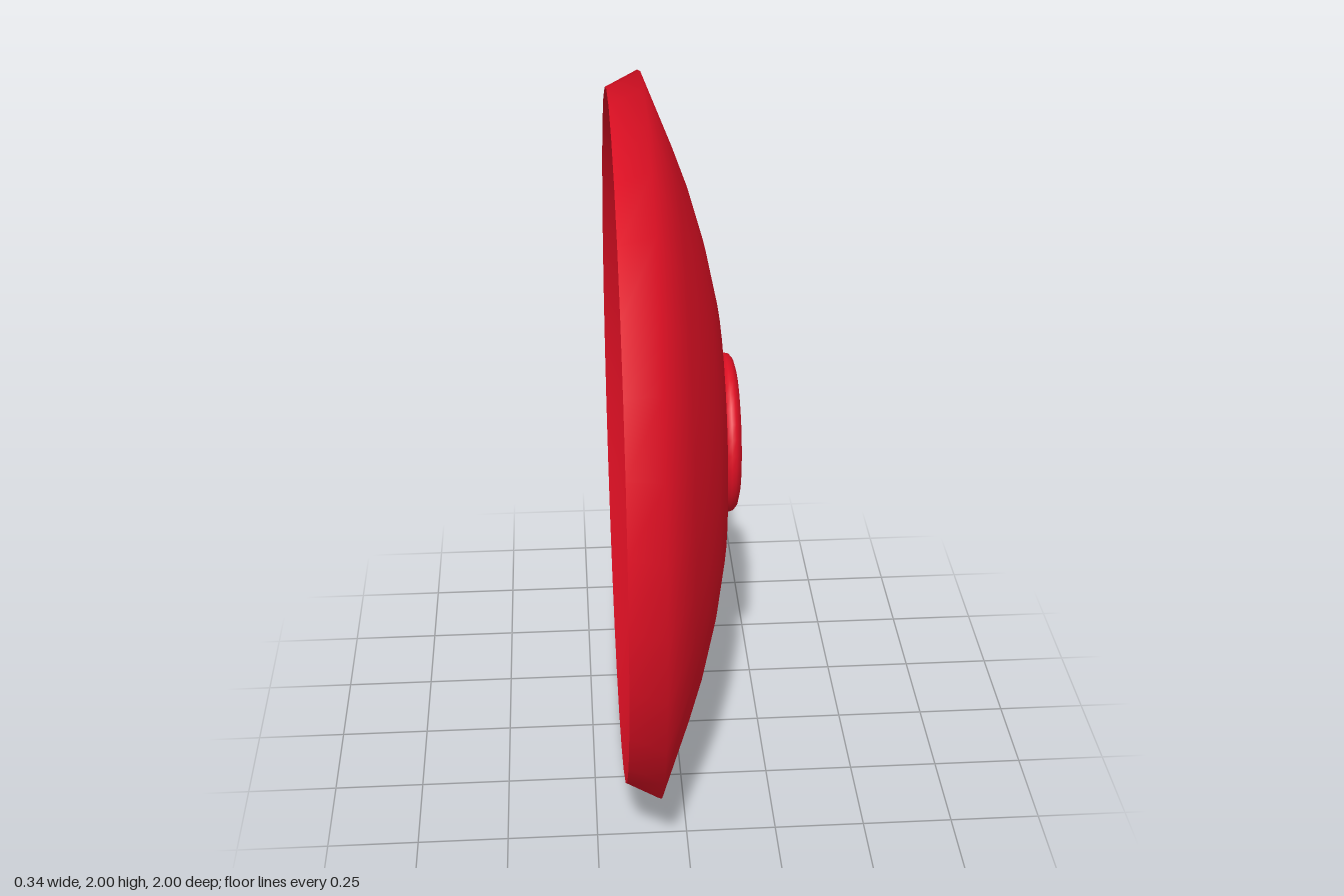
import * as THREE from 'three';

const SIDES = 32;

// Revolves [x, radius] pairs around the x axis
function revolve(name, profile, material) {
  const points = profile.map(([x, r]) => new THREE.Vector2(r, x));
  const geometry = new THREE.LatheGeometry(points, SIDES);
  geometry.rotateZ(-Math.PI / 2);
  const mesh = new THREE.Mesh(geometry, material);
  mesh.name = name;
  mesh.position.y = 1;
  return mesh;
}

export function createModel() {
  const group = new THREE.Group();
  group.name = 'roundShield';
  const red = new THREE.MeshStandardMaterial({ color: 0xe01024, side: THREE.DoubleSide });
  const handleRed = new THREE.MeshStandardMaterial({ color: 0xe01414 });

  // Domed shell: hollow back, rim, front, then the wall of the central hole.
  // A repeated point makes a sharp edge.
  group.add(revolve('shieldShell', [
    [0.08, 0.18], [0.07, 0.25], [0.05, 0.41], [0.02, 0.52], [-0.02, 0.66],
    [-0.07, 0.79], [-0.125, 0.89], [-0.17, 0.955], [-0.17, 0.955],
    [-0.08, 1.0], [0.0, 0.8], [0.04, 0.69], [0.08, 0.55], [0.113, 0.39],
    [0.122, 0.23], [0.08, 0.18],
  ], red));

  // Button-like boss, hollow behind
  group.add(revolve('boss', [
    [0.14, 0], [0.14, 0.15], [0.08, 0.18], [0.08, 0.18], [0.115, 0.2],
    [0.127, 0.212], [0.14, 0.222], [0.152, 0.219], [0.162, 0.207],
    [0.168, 0.185], [0.168, 0.185], [0.168, 0],
  ], red));

  // U-shaped grip, drawn in the z-x plane and extruded upwards
  const outline = [
    [-0.46, -0.11], [0.46, -0.11], [0.46, 0.07], [0.33, 0.07],
    [0.33, -0.045], [-0.33, -0.045], [-0.33, 0.07], [-0.46, 0.07],
  ].map(([z, x]) => new THREE.Vector2(z, x));
  const grip = new THREE.ExtrudeGeometry(new THREE.Shape(outline), { depth: 0.13, bevelEnabled: false });
  grip.applyMatrix4(new THREE.Matrix4().makeBasis(
    new THREE.Vector3(0, 0, 1), new THREE.Vector3(1, 0, 0), new THREE.Vector3(0, 1, 0)));
  const handle = new THREE.Mesh(grip, handleRed);
  handle.name = 'handle';
  handle.position.y = 1 - 0.065;
  group.add(handle);

  return group;
}
